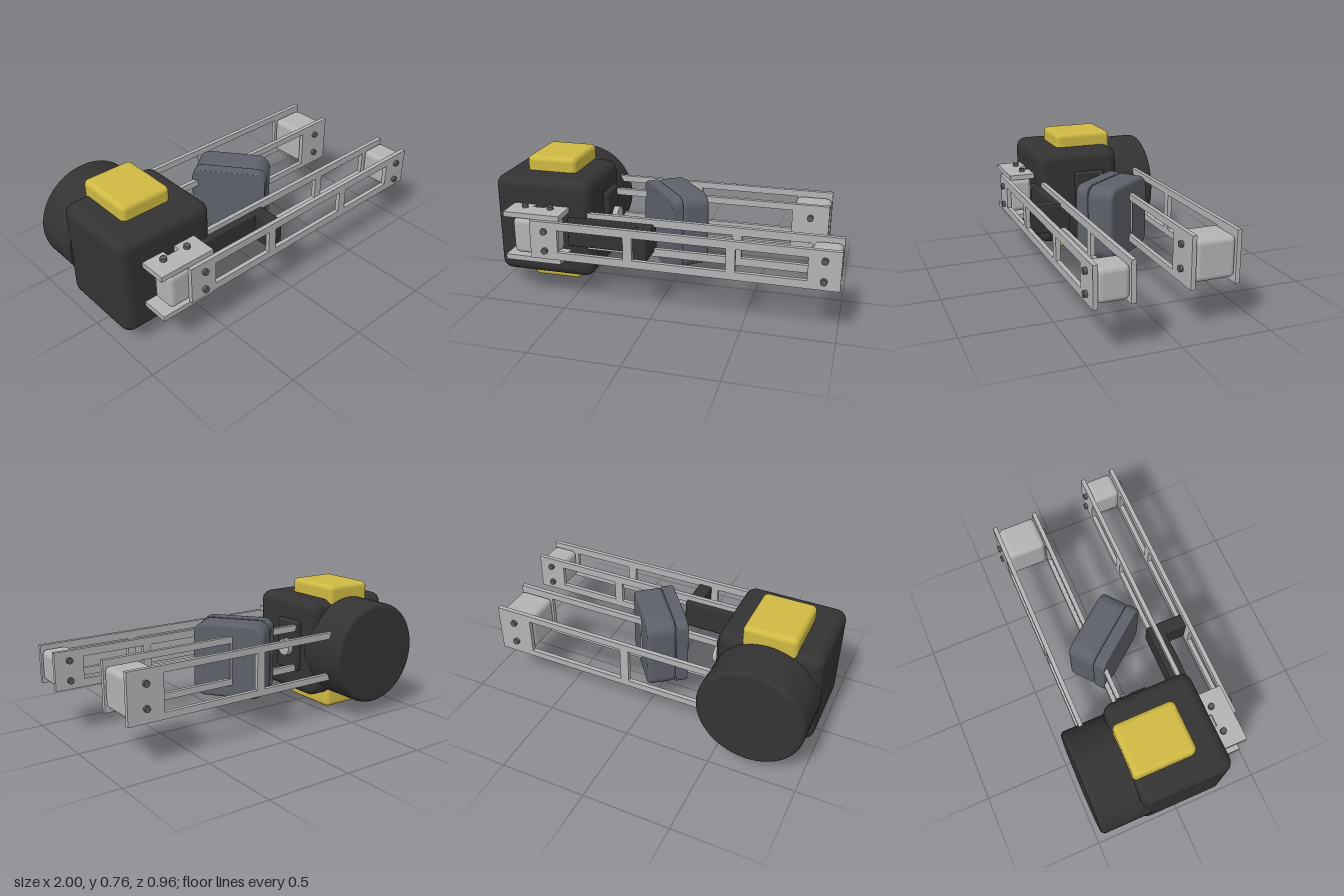
import * as THREE from 'three';
import { RoundedBoxGeometry } from 'three/addons/geometries/RoundedBoxGeometry.js';

const mat = (name, color) => Object.assign(new THREE.MeshStandardMaterial({ color }), { name });

export function createModel() {
  const black = mat('black', 0x333333);
  const yellow = mat('yellow', 0xcfb943);
  const silver = mat('light grey', 0xb2b3b5);
  const slate = mat('slate grey', 0x5d6069);
  const steel = mat('bolt grey', 0x58595c);
  const model = new THREE.Group();
  model.name = 'linkageMotor';

  const add = (parent, name, geometry, material) => {
    const mesh = new THREE.Mesh(geometry, material);
    mesh.name = name;
    parent.add(mesh);
    return mesh;
  };
  // Rounded box given by its limits on each axis
  const box = (parent, name, material, [x0, x1], [y0, y1], [z0, z1], r) => {
    const mesh = add(parent, name, new RoundedBoxGeometry(x1 - x0, y1 - y0, z1 - z0, 4, r), material);
    mesh.position.set((x0 + x1) / 2, (y0 + y1) / 2, (z0 + z1) / 2);
    return mesh;
  };
  const bolt = (parent, x, y, z, axis = 'z') => {
    const mesh = add(parent, 'bolt', new THREE.CylinderGeometry(0.018, 0.018, 0.02, 20), steel);
    if (axis === 'z') mesh.rotation.x = Math.PI / 2;
    mesh.position.set(x, y, z);
  };
  const rect = (shape, x0, x1, y0, y1) => shape.moveTo(x0, y0).lineTo(x1, y0).lineTo(x1, y1).lineTo(x0, y1).closePath();

  // Body with yellow pads above and below
  box(model, 'body', black, [-0.99, -0.41], [0.09, 0.675], [-0.23, 0.287], 0.06);
  box(model, 'topPad', yellow, [-0.85, -0.55], [0.58, 0.76], [-0.228, 0.128], 0.03);
  box(model, 'bottomPad', yellow, [-0.85, -0.55], [0, 0.18], [-0.228, 0.128], 0.03);

  // Rear drum with a softened rim
  const rim = [[0, 0], [0.3, 0], [0.3, 0.27]];
  for (let i = 0; i <= 6; i++) {
    const a = (i / 6) * Math.PI / 2;
    rim.push([0.275 + 0.025 * Math.cos(a), 0.27 + 0.025 * Math.sin(a)]);
  }
  rim.push([0, 0.295]);
  // Repeated points keep the flat faces crisp
  const profile = rim.flatMap(([x, y], i) => (i === 1 || i === rim.length - 2 ? [[x, y], [x, y]] : [[x, y]]));
  const drum = add(model, 'rearDrum', new THREE.LatheGeometry(profile.map(p => new THREE.Vector2(...p)), 64), black);
  drum.rotation.x = -Math.PI / 2;
  drum.position.set(-0.7, 0.38, -0.18);

  // An arm: two slotted plates, an end block and bolts
  function arm(name, { x, y, rail, slots, plates, block, boltX, boltY }) {
    const group = new THREE.Group();
    group.name = name;
    const shape = new THREE.Shape();
    rect(shape, x[0], x[1], y[0], y[1]);
    for (const [a, b] of slots) {
      const hole = new THREE.Path();
      rect(hole, a, b, y[0] + rail, y[1] - rail);
      shape.holes.push(hole);
    }
    plates.forEach((z, i) => {
      const plate = add(group, 'armPlate', new THREE.ExtrudeGeometry(shape, { depth: 0.025, bevelEnabled: false }), silver);
      plate.position.z = z - 0.0125;
      const out = z + (i ? 1 : -1) * 0.02;
      for (const by of boltY) for (const bx of boltX) bolt(group, bx, by, out);
    });
    box(group, 'endBlock', silver, ...block, 0.03);
    model.add(group);
  }
  arm('frontArm', {
    x: [-0.7, 1], y: [0.275, 0.495], rail: 0.045,
    slots: [[-0.54, -0.16], [-0.11, 0.405], [0.455, 0.83]],
    plates: [0.262, 0.452],
    block: [[0.84, 0.998], [0.293, 0.473], [0.274, 0.44]],
    boltX: [-0.615, 0.915], boltY: [0.325, 0.44],
  });
  arm('rearArm', {
    x: [-0.75, 0.89], y: [0.24, 0.527], rail: 0.038,
    slots: [[-0.54, 0.045], [0.095, 0.68]],
    plates: [-0.357, -0.106],
    block: [[0.68, 0.888], [0.27, 0.497], [-0.345, -0.118]],
    boltX: [0.785], boltY: [0.32, 0.452],
  });

  // Clamp that joins the front arm to the body
  const clamp = new THREE.Group();
  clamp.name = 'frontClamp';
  model.add(clamp);
  box(clamp, 'clampBlock', silver, [-0.815, -0.56], [0.28, 0.49], [0.3, 0.44], 0.03);
  const flange = new THREE.Shape([[-0.865, 0.28], [-0.735, 0.28], [-0.735, 0.325], [-0.665, 0.325],
    [-0.665, 0.28], [-0.535, 0.28], [-0.535, 0.442], [-0.865, 0.442]].map(p => new THREE.Vector2(...p)));
  for (const [y, out] of [[0.525, 0.533], [0.268, 0.23]]) {
    const plate = add(clamp, 'clampFlange', new THREE.ExtrudeGeometry(flange, { depth: 0.03, bevelEnabled: false }), silver);
    plate.rotation.x = Math.PI / 2;
    plate.position.y = y;
    for (const x of [-0.775, -0.625]) bolt(clamp, x, out, 0.342, 'y');
  }

  // Angled black bracket between the front plates
  box(model, 'bracketRail', black, [-0.54, -0.04], [0.3, 0.465], [0.22, 0.312], 0.006);
  box(model, 'bracketFoot', black, [-0.12, -0.04], [0.3, 0.465], [0.23, 0.438], 0.006);

  // Side mount with a light socket
  box(model, 'sideMount', black, [-0.43, -0.378], [0.24, 0.545], [-0.13, 0.06], 0.015);
  const socket = add(model, 'mountSocket', new THREE.CylinderGeometry(0.05, 0.05, 0.05, 32), silver);
  socket.rotation.z = Math.PI / 2;
  socket.position.set(-0.37, 0.38, -0.045);

  // Turned housing made of a back lid and a front shell
  const housing = new THREE.Group();
  housing.name = 'turnedHousing';
  const layer = (name, half, height, depth, z, bevel) => {
    const w = half - bevel, h = height - bevel, r = 0.05, s = new THREE.Shape();
    s.moveTo(-w + r, -h).lineTo(w - r, -h).absarc(w - r, -h + r, r, -Math.PI / 2, 0);
    s.absarc(w - r, h - r, r, 0, Math.PI / 2).absarc(-w + r, h - r, r, Math.PI / 2, Math.PI);
    s.absarc(-w + r, -h + r, r, Math.PI, Math.PI * 1.5);
    const geometry = new THREE.ExtrudeGeometry(s, { depth: depth - 2 * bevel, bevelThickness: bevel, bevelSize: bevel, bevelSegments: 4, curveSegments: 10 });
    add(housing, name, geometry, slate).position.z = z + bevel;
  };
  layer('housingLid', 0.21, 0.218, 0.07, -0.115, 0.006);
  layer('housingShell', 0.21, 0.218, 0.162, -0.045, 0.022);
  housing.rotation.y = 2.235;
  housing.position.set(0.01, 0.378, -0.026);
  model.add(housing);

  return model;
}
